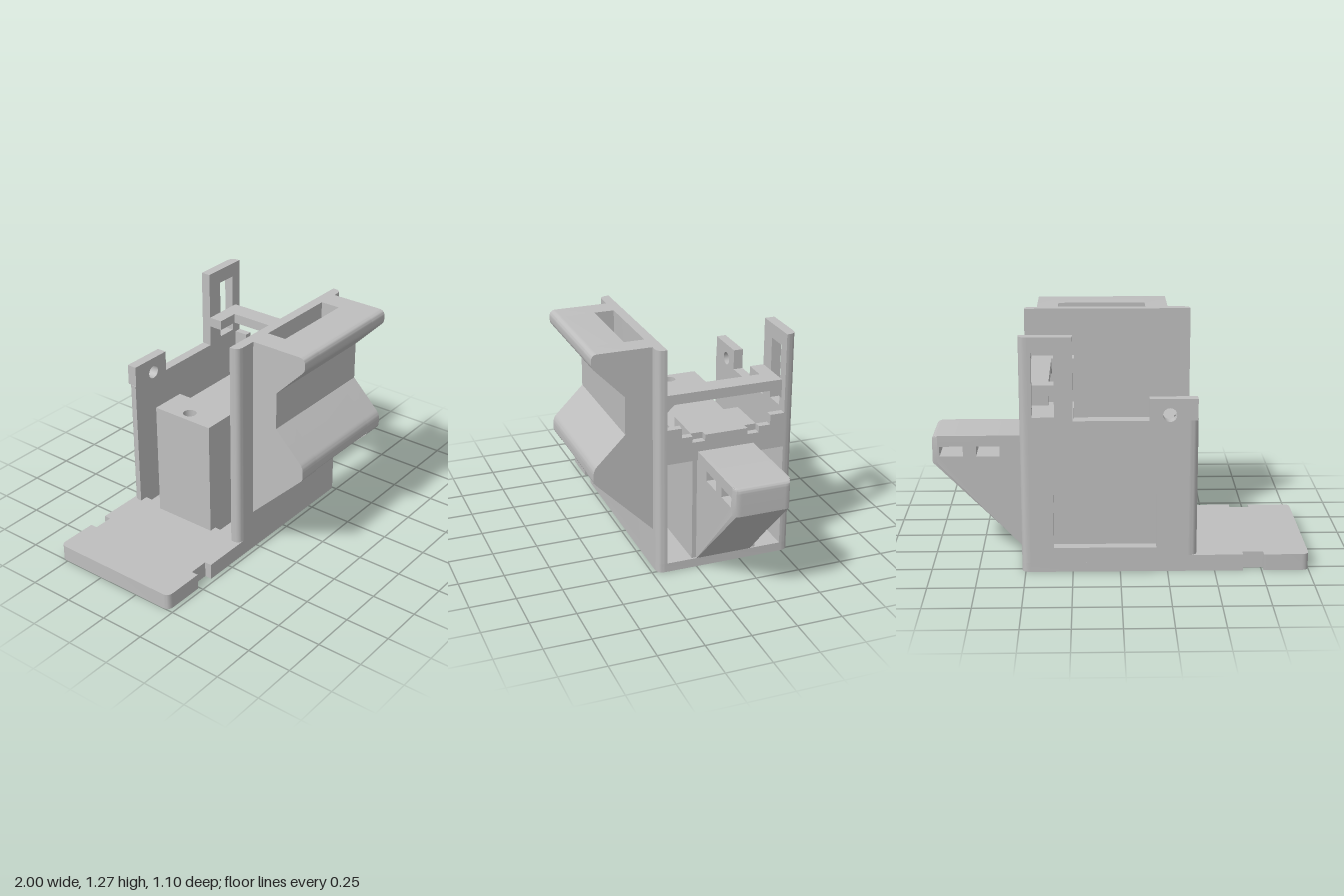
import * as THREE from 'three';
import { toCreasedNormals } from 'three/addons/utils/BufferGeometryUtils.js';

export function createModel() {
  const model = new THREE.Group();
  const grey = new THREE.MeshStandardMaterial({ color: 0xbebebe });
  grey.name = 'plain grey';

  function add(name, geometry) {
    const mesh = new THREE.Mesh(toCreasedNormals(geometry, 0.6), grey);
    mesh.name = name;
    model.add(mesh);
    return mesh;
  }

  function box(name, x0, x1, y0, y1, z0, z1) {
    const g = new THREE.BoxGeometry(x1 - x0, y1 - y0, z1 - z0);
    add(name, g.translate((x0 + x1) / 2, (y0 + y1) / 2, (z0 + z1) / 2));
  }

  // Outline from points [u, v, radius]; a radius rounds that corner
  function outline(points) {
    const shape = new THREE.Shape();
    const n = points.length;
    points.forEach(([u, v, r = 0], i) => {
      const p = new THREE.Vector2(u, v);
      const toward = (q) => new THREE.Vector2(q[0], q[1]).sub(p).setLength(r).add(p);
      const a = r ? toward(points[(i + n - 1) % n]) : p;
      if (i === 0) shape.moveTo(a.x, a.y);
      else shape.lineTo(a.x, a.y);
      if (r) {
        const b = toward(points[(i + 1) % n]);
        shape.quadraticCurveTo(p.x, p.y, b.x, b.y);
      }
    });
    shape.closePath();
    return shape;
  }
  const rect = (u0, u1, v0, v1) => outline([[u0, v0], [u1, v0], [u1, v1], [u0, v1]]);
  const circle = (u, v, r) => new THREE.Path().absarc(u, v, r, 0, Math.PI * 2);
  const extrude = (shape, depth, steps = 1) =>
    new THREE.ExtrudeGeometry(shape, { depth, steps, bevelEnabled: false, curveSegments: 8 });

  // Extrusions along y (points in x, z), along x (points in z, y) and along z (points in x, y)
  function plan(name, points, y0, y1, holes = []) {
    const shape = outline(points.map(([x, z, r]) => [x, -z, r]));
    shape.holes.push(...holes);
    add(name, extrude(shape, y1 - y0).rotateX(-Math.PI / 2).translate(0, y0, 0));
  }
  function side(name, points, x0, x1) {
    add(name, extrude(outline(points), x1 - x0).rotateY(-Math.PI / 2).translate(x1, 0, 0));
  }
  function face(name, points, z0, z1, holes = []) {
    const shape = outline(points);
    shape.holes.push(...holes);
    add(name, extrude(shape, z1 - z0).translate(0, 0, z0));
  }

  const front = 0.225, back = -0.545, inFront = 0.17, inBack = -0.49;

  // Base: thick notched tongue and a thinner floor between the walls
  plan('baseTongue', [
    [-1, back, 0.04], [-0.76, back], [-0.76, back + 0.04], [-0.65, back + 0.04], [-0.65, back],
    [-0.36, back], [-0.36, front], [-0.65, front], [-0.65, front - 0.04],
    [-0.76, front - 0.04], [-0.76, front], [-1, front, 0.04],
  ], 0, 0.09);
  plan('baseFloor', [[-0.36, back], [0.52, back, 0.045], [0.52, front, 0.045], [-0.36, front]], 0, 0.05);

  // Front wall with rounded outer edges
  plan('frontWall', [
    [-0.405, inFront], [-0.405, front, 0.045], [0.52, front, 0.045], [0.52, inFront],
  ], 0.05, 1.27);

  // Back wall with window, pierced tab and tall slotted column
  face('backWall', [
    [-0.36, 0.05], [0.475, 0.05], [0.475, 1.27], [0.245, 1.27], [0.245, 0.83],
    [-0.15, 0.83], [-0.15, 0.945], [-0.36, 0.945],
  ], back, inBack, [
    rect(-0.19, 0.35, 0.135, 0.43), rect(0.34, 0.455, 0.85, 1.19), circle(-0.255, 0.86, 0.037),
  ]);
  plan('backWallRightEdge', [
    [0.475, inBack], [0.475, back], [0.52, back, 0.045], [0.52, inBack],
  ], 0.05, 1.27);
  plan('backWallLeftEdge', [
    [-0.36, inBack], [-0.36, back], [-0.405, back, 0.045], [-0.405, inBack],
  ], 0.05, 0.83);
  box('tabEnd', -0.4, -0.36, 0.83, 0.945, back, inBack);

  // Front clip: two full cheeks joined by a bridge that leaves a slot against the wall
  const clipFront = [
    [0.55, 1.27, 0.035], [0.55, 1.2, 0.02], [0.375, 1.02], [0.375, 0.81], [0.55, 0.635, 0.03],
  ];
  for (const [x0, x1] of [[-0.28, -0.155], [0.33, 0.45]]) {
    side('clipCheek', [[front, 1.27], ...clipFront, [0.55, 0.56, 0.015], [front, 0.235]], x0, x1);
  }
  side('clipBridge', [[0.335, 1.27], ...clipFront, [0.55, 0.56, 0.015], [0.335, 0.56]], -0.155, 0.33);

  // Upper crossbar with widened ends and sloped gussets
  side('crossbar', [
    [inFront, 1.005], [inFront, 0.9], [0.115, 0.95], [-0.435, 0.95], [inBack, 0.9], [inBack, 1.005],
  ], 0.37, 0.48);
  box('crossbarFrontEnd', 0.245, 0.37, 0.95, 1.005, 0.09, inFront);
  box('crossbarBackEnd', 0.245, 0.37, 0.95, 1.005, inBack, -0.41);

  // Lower crosspiece with raised ends and two small notches
  side('crosspiece', [
    [inFront, 0.635], [inFront, 0.83], [0.09, 0.83], [0.09, 0.775], [0.03, 0.775],
    [0.03, 0.74], [-0.04, 0.74], [-0.04, 0.775], [-0.28, 0.775], [-0.28, 0.74],
    [-0.345, 0.74], [-0.345, 0.775], [-0.41, 0.775], [-0.41, 0.83], [inBack, 0.83], [inBack, 0.635],
  ], 0.48, 0.52);

  // Central body: pierced post, middle box and raised block beside the crosspiece
  plan('post', [[-0.4, -0.35], [-0.2, -0.35], [-0.2, 0.02], [-0.4, 0.02]], 0.05, 0.745,
    [circle(-0.335, 0.165, 0.037)]);
  box('middleBox', -0.2, 0.51, 0.05, 0.685, -0.345, 0.025);
  box('raisedBlock', 0.245, 0.48, 0.685, 0.775, -0.345, 0.025);

  // Side bracket: sloped below, with two slots and rounded outer corners
  const wedge = outline([[0.5, 0.03], [1, 0.53], [1, 0.685, 0.03], [0.5, 0.685]]);
  wedge.holes.push(rect(0.64, 0.765, 0.57, 0.625), rect(0.835, 0.96, 0.57, 0.625));
  const depth = 0.315;
  const wedgeGeometry = extrude(wedge, depth, 24);
  const pos = wedgeGeometry.attributes.position;
  for (let i = 0; i < pos.count; i++) {
    const inset = Math.max(0, 0.03 - Math.min(pos.getZ(i), depth - pos.getZ(i)));
    const limit = 0.97 + Math.sqrt(0.0009 - inset * inset);
    if (pos.getX(i) > limit) pos.setX(i, limit);
  }
  wedgeGeometry.computeVertexNormals();
  add('sideBracket', wedgeGeometry.translate(0, 0, -depth));

  return model;
}
